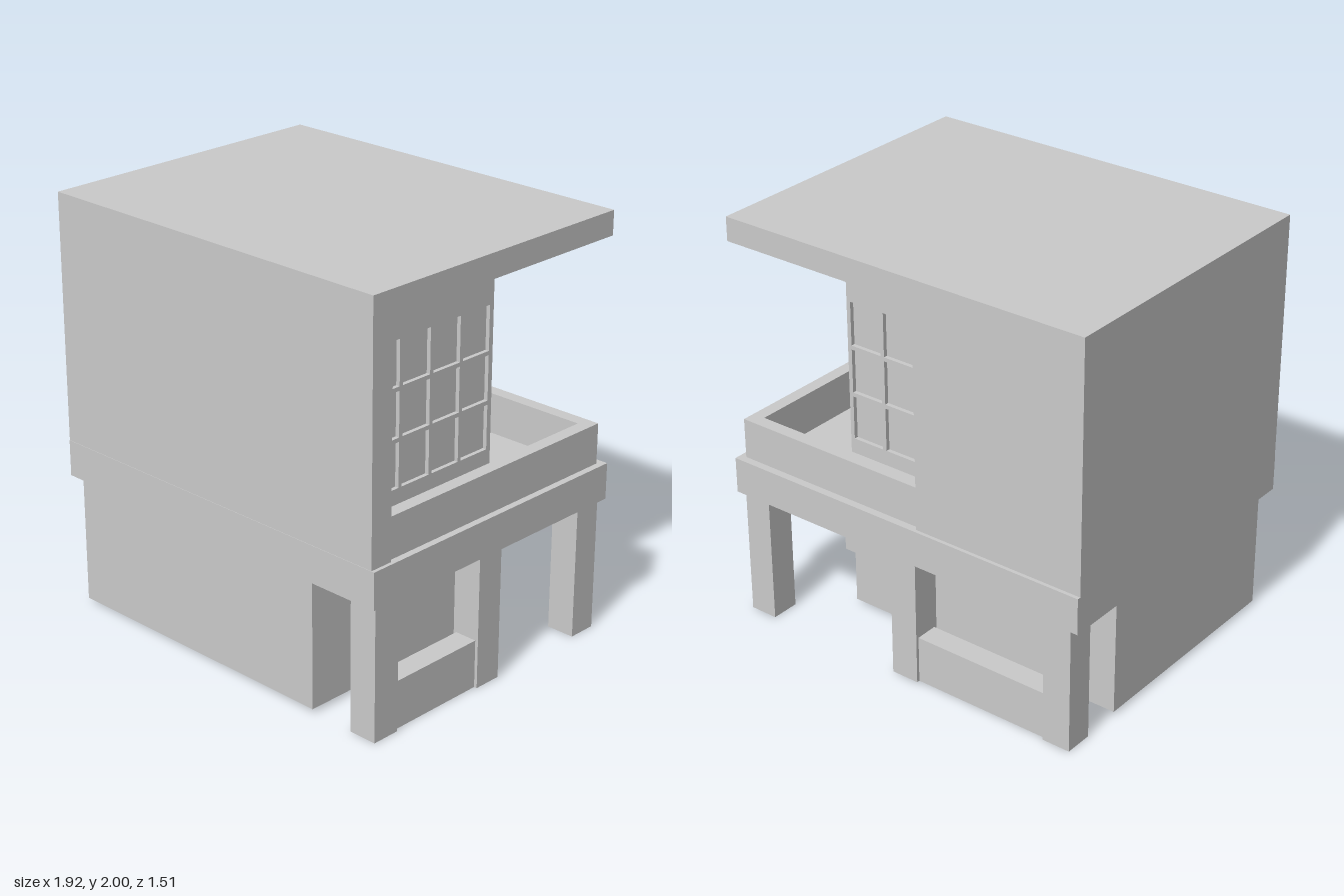
import * as THREE from 'three';

const material = new THREE.MeshStandardMaterial({ color: 0xcccccc, flatShading: true });

export function createModel() {
  const model = new THREE.Group();
  model.name = 'balconyHouse';

  const add = (name, geometry) => {
    const mesh = new THREE.Mesh(geometry, material);
    mesh.name = name;
    model.add(mesh);
    return mesh;
  };

  // Box given by its lower and upper limits on each axis
  const block = (name, x0, x1, y0, y1, z0, z1) => {
    const mesh = add(name, new THREE.BoxGeometry(x1 - x0, y1 - y0, z1 - z0));
    mesh.position.set((x0 + x1) / 2, (y0 + y1) / 2, (z0 + z1) / 2);
    return mesh;
  };

  // Ground floor and the deck it carries
  block('groundFloor', -0.9, 0.58, 0.02, 0.64, -0.39, 0.735);
  block('deck', -0.96, 0.957, 0.64, 0.815, -0.757, 0.757);

  // Posts along the right side and the back
  const posts = [[0.87, 0.66], [0.87, 0.01], [0.87, -0.65], [0.01, -0.65], [-0.83, -0.65]];
  for (const [x, z] of posts) {
    block('post', x - 0.07, x + 0.07, 0, 0.64, z - 0.07, z + 0.07);
  }

  // Low walls between posts
  block('lowWallRight', 0.815, 0.925, 0, 0.23, 0.08, 0.59);
  block('lowWallBack', -0.76, -0.06, 0, 0.23, -0.705, -0.595);

  // Upper floor: front wall, closed room, glazed room core, roof
  const floorY = 0.815, ceilingY = 1.885;
  block('frontWall', -0.96, 0.94, floorY, ceilingY, 0.64, 0.755);
  block('closedRoom', -0.96, -0.09, floorY, ceilingY, -0.74, 0.64);
  block('windowPanes', -0.09, 0.56, floorY, ceilingY, -0.37, 0.64);
  block('roof', -0.96, 0.94, ceilingY, 2, -0.74, 0.755);

  // Wall skin with a grid of openings showing the recessed panes
  const windowWall = (name, u0, u1, firstPane, columns, pitch) => {
    const shape = new THREE.Shape();
    const rect = (path, a, b, c, d) =>
      path.moveTo(a, b).lineTo(c, b).lineTo(c, d).lineTo(a, d).closePath();
    rect(shape, u0, floorY, u1, ceilingY);
    for (let i = 0; i < columns; i++) {
      for (let j = 0; j < 3; j++) {
        const u = firstPane + i * pitch, y = 0.89 + j * 0.235;
        const hole = new THREE.Path();
        rect(hole, u, y, u + pitch - 0.02, y + 0.215);
        shape.holes.push(hole);
      }
    }
    return add(name, new THREE.ExtrudeGeometry(shape, { depth: 0.02, bevelEnabled: false }));
  };
  windowWall('windowWallBack', -0.09, 0.58, 0.015, 3, 0.188).position.z = -0.39;
  const rightWall = windowWall('windowWallRight', -0.64, 0.37, -0.57, 5, 0.191);
  rightWall.rotation.y = Math.PI / 2;
  rightWall.position.x = 0.56;

  // Balcony parapet
  block('parapetRight', 0.861, 0.925, floorY, 1.01, -0.72, 0.64);
  block('parapetBack', -0.09, 0.861, floorY, 1.01, -0.72, -0.656);

  return model;
}
